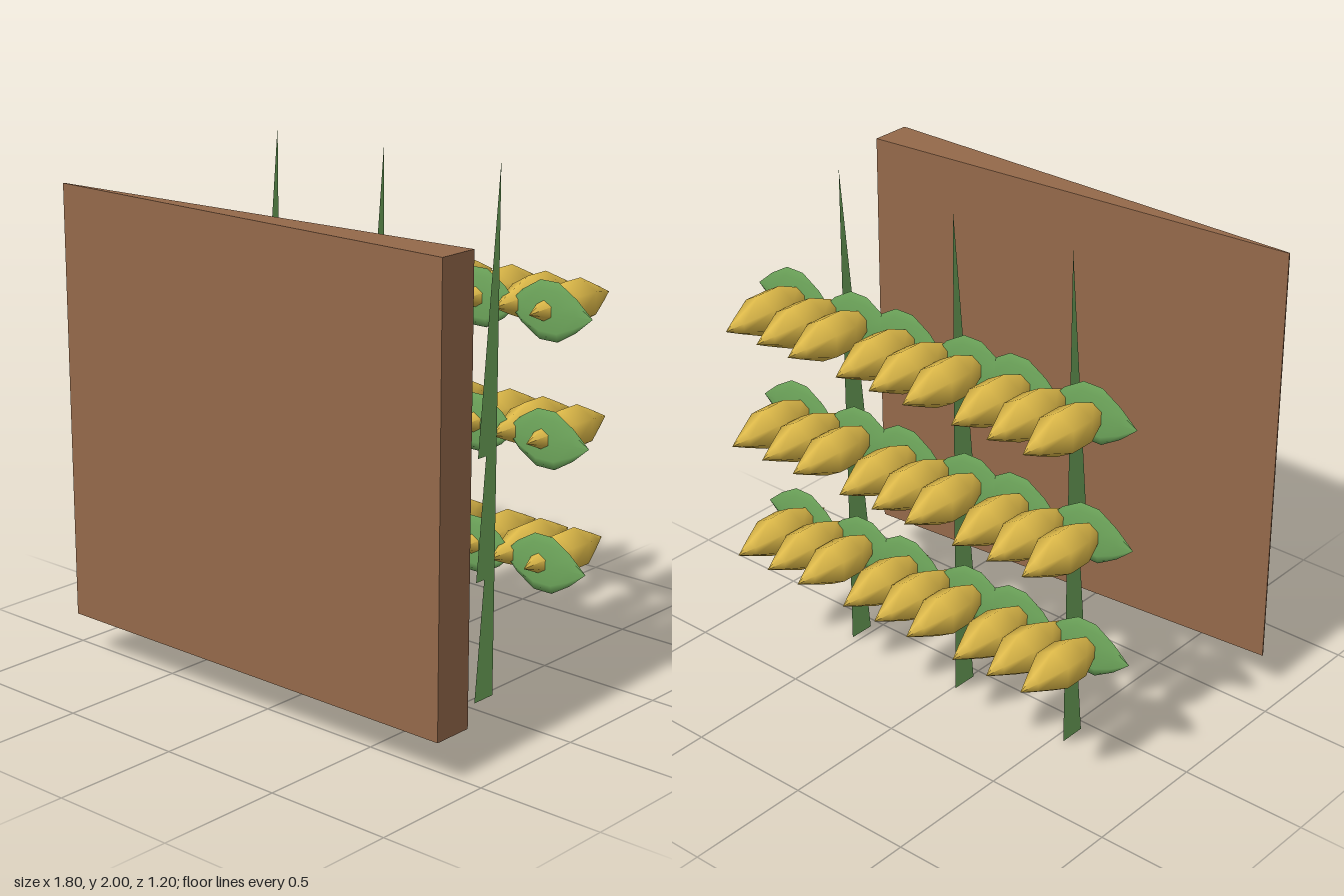
import * as THREE from 'three';

const brown = new THREE.MeshStandardMaterial({ color: 0x94694a });
const green = new THREE.MeshStandardMaterial({ color: 0x6fa85c, side: THREE.DoubleSide });
const yellow = new THREE.MeshStandardMaterial({ color: 0xdcb848 });

const points = (list) => list.map(([x, y]) => new THREE.Vector2(x, y));

function add(parent, name, geometry, material, x = 0, y = 0, z = 0) {
  const mesh = new THREE.Mesh(geometry, material);
  mesh.name = name;
  mesh.position.set(x, y, z);
  parent.add(mesh);
  return mesh;
}

// Wedge-shaped panel: thin at -x, thick at +x
function panelGeometry() {
  const section = new THREE.Shape(points([[-0.91, -0.6], [0.89, -0.6], [0.89, -0.44], [-0.91, -0.595]]));
  return new THREE.ExtrudeGeometry(section, { depth: 1.675, bevelEnabled: false }).rotateX(-Math.PI / 2);
}

// Flat upright blade lying in the yz plane, tapering to a point
function bladeGeometry() {
  const outline = new THREE.Shape(points([[0.04, 0], [0.145, 0], [0.145, 1.06]]));
  return new THREE.ShapeGeometry(outline).rotateY(Math.PI / 2);
}

// Flattened spindle pointing along +x
function leafGeometry() {
  const profile = points([[0, -0.02], [0.06, 0.04], [0.108, 0.12], [0.108, 0.2], [0.06, 0.28], [0, 0.35]]);
  return new THREE.LatheGeometry(profile, 8).rotateZ(-Math.PI / 2).scale(1, 1, 0.11);
}

// Faceted pod, pointed at both ends, lying along z
function podGeometry() {
  const profile = points([[0, -0.235], [0.032, -0.17], [0.083, -0.06], [0.083, 0.04], [0.042, 0.14], [0, 0.235]]);
  return new THREE.LatheGeometry(profile, 6).rotateX(Math.PI / 2);
}

export function createModel() {
  const model = new THREE.Group();
  model.name = 'plantsBehindPanel';
  add(model, 'panel', panelGeometry(), brown, 0, 0.165, 0);

  const blade = bladeGeometry();
  const leaf = leafGeometry();
  const pod = podGeometry();

  // Three plants, each stacked from three identical tiers
  for (const x of [-0.54, -0.01, 0.53]) {
    const plant = new THREE.Group();
    plant.name = 'plant';
    plant.position.x = x;
    model.add(plant);
    for (let tier = 0; tier < 3; tier++) {
      const base = tier * 0.47;
      add(plant, 'stem', blade, green, 0, base, 0);
      for (const side of [0, 1]) {
        add(plant, 'leaf', leaf, green, 0, base + 0.535, -0.226).rotation.y = side * Math.PI;
      }
      for (let i = -1; i <= 1; i++) {
        add(plant, 'pod', pod, yellow, i * 0.155 - 0.01, base + 0.535, -0.365);
      }
    }
  }
  return model;
}
